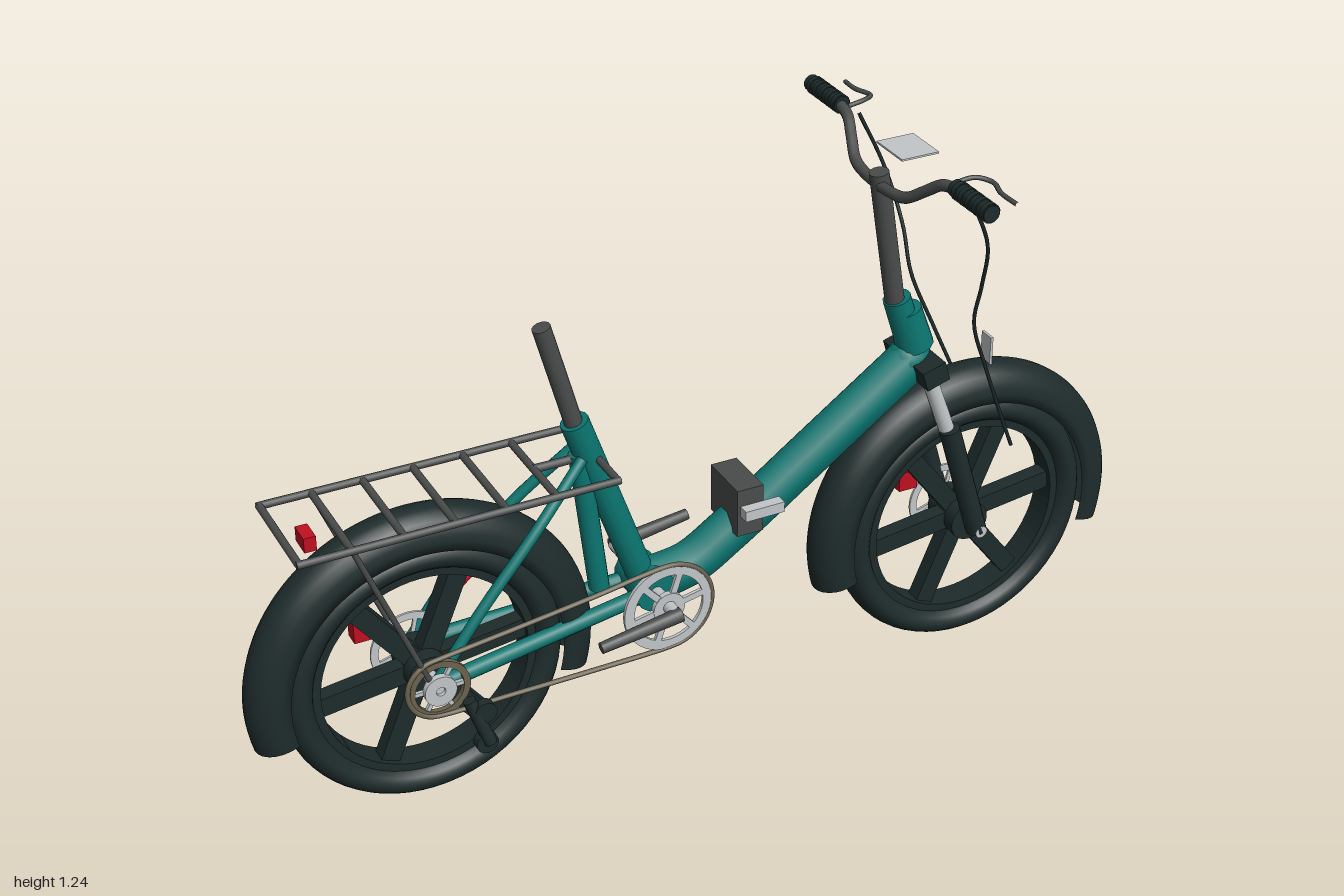
import * as THREE from 'three';

const paint = (name, color) => Object.assign(new THREE.MeshStandardMaterial({ color }), { name });
const V = (x, y, z) => new THREE.Vector3(x, y, z);

export function createModel() {
  const teal = paint('teal frame', 0x0b7570);
  const rubber = paint('black rubber', 0x1e2b2b);
  const grey = paint('dark grey metal', 0x4a4c4c);
  const silver = paint('silver', 0xc2c6c8);
  const red = paint('red', 0xc00f20);
  const chainMat = paint('chain bronze', 0x6a6250);
  const root = new THREE.Group();
  root.name = 'foldingBike';

  const add = (name, geo, mat, parent = root) => {
    const m = new THREE.Mesh(geo, mat);
    m.name = name;
    parent.add(m);
    return m;
  };
  // Straight round bar between two points
  const rod = (name, a, b, r, mat, parent = root, r2 = r, sides = 14) => {
    const m = add(name, new THREE.CylinderGeometry(r2, r, a.distanceTo(b), sides), mat, parent);
    m.position.copy(a).add(b).multiplyScalar(0.5);
    m.quaternion.setFromUnitVectors(V(0, 1, 0), b.clone().sub(a).normalize());
    return m;
  };
  const tube = (name, pts, r, mat, seg = 40, closed = false) =>
    add(name, new THREE.TubeGeometry(new THREE.CatmullRomCurve3(pts, closed), seg, r, 10, closed), mat);
  const box = (name, x, y, z, w, h, d, mat, parent = root) => {
    const m = add(name, new THREE.BoxGeometry(w, h, d), mat, parent);
    m.position.set(x, y, z);
    return m;
  };
  // Flat ring facing z
  const ring = (name, x, y, z, ro, ri, depth, mat, parent = root) => {
    const s = new THREE.Shape().absarc(0, 0, ro, 0, Math.PI * 2);
    s.holes.push(new THREE.Path().absarc(0, 0, ri, 0, Math.PI * 2, true));
    const g = new THREE.ExtrudeGeometry(s, { depth, bevelEnabled: false, curveSegments: 32 });
    const m = add(name, g.translate(0, 0, -depth / 2), mat, parent);
    m.position.set(x, y, z);
    return m;
  };
  const spokes = (name, n, start, r0, r1, w, d, z, mat, parent) => {
    for (let i = 0; i < n; i++) {
      const a = start + (i * Math.PI * 2) / n, r = (r0 + r1) / 2;
      box(name, Math.cos(a) * r, Math.sin(a) * r, z, r1 - r0, w, d, mat, parent).rotation.z = a;
    }
  };
  // Profile of [radius, z] points turned around the wheel axle
  const turned = (pts, start = 0, len = Math.PI * 2) =>
    new THREE.LatheGeometry(pts.map(p => new THREE.Vector2(...p)), 64, start, len).rotateX(Math.PI / 2);

  // Wheels with tyre, rim, six wide spokes, disc brake and mudguard
  const tyre = [], guard = [];
  for (let i = 0; i <= 24; i++) {
    const a = (i / 24) * Math.PI * 2;
    tyre.push([0.266 - 0.034 * Math.cos(a), 0.05 * -Math.sin(a)]);
  }
  tyre.reverse();
  for (let i = 0; i <= 12; i++) {
    const a = -Math.PI / 2 + (i / 12) * Math.PI;
    guard.push([0.31 + 0.06 * Math.cos(a), 0.055 * Math.sin(a)]);
  }
  guard.unshift([0.29, -0.054]);
  guard.push([0.29, 0.054], [0.305, 0.049], [0.355, 0.035], [0.364, 0], [0.355, -0.035], [0.305, -0.049], [0.29, -0.054]);
  const guardMat = rubber.clone();
  guardMat.name = 'black mudguard';
  guardMat.side = THREE.DoubleSide;
  const wheel = (name, x) => {
    const g = new THREE.Group();
    g.name = name;
    g.position.set(x, 0.305, 0);
    root.add(g);
    add('tyre', turned(tyre), guardMat, g);
    ring('rim', 0, 0, 0, 0.25, 0.222, 0.06, rubber, g);
    spokes('wheelSpoke', 6, 0.13, 0.02, 0.235, 0.042, 0.035, 0, rubber, g);
    rod('hub', V(0, 0, -0.05), V(0, 0, 0.05), 0.045, rubber, g, 0.045, 24);
    rod('axle', V(0, 0, -0.1), V(0, 0, 0.1), 0.014, silver, g);
    ring('brakeDisc', 0, 0, -0.062, 0.085, 0.068, 0.005, silver, g);
    spokes('discArm', 6, 0.3, 0.01, 0.07, 0.009, 0.005, -0.062, silver, g);
    box('brakeCaliper', -0.095, 0.072, -0.072, 0.045, 0.045, 0.035, red, g);
    rod('brakeArm', V(0.08, 0.092, -0.065), V(0.135, 0.137, -0.065), 0.011, red, g);
    add('mudguard', turned(guard, (75 * Math.PI) / 180, (210 * Math.PI) / 180), guardMat, g);
  };
  wheel('rearWheel', -0.63);
  wheel('frontWheel', 0.63);

  // Frame
  tube('mainTube', [V(0.49, 0.722, 0), V(0.25, 0.552, 0), V(0.06, 0.418, 0), V(-0.03, 0.365, 0), V(-0.13, 0.35, 0)],
    0.053, teal).scale.z = 0.85;
  const cap = add('mainTubeEnd', new THREE.SphereGeometry(0.052, 16, 12), teal);
  cap.position.set(0.485, 0.72, 0);
  cap.scale.z = 0.85;
  rod('bottomBracket', V(-0.13, 0.355, -0.055), V(-0.13, 0.355, 0.055), 0.045, teal);
  rod('seatTube', V(-0.14, 0.37, 0), V(-0.28, 0.775, 0), 0.03, teal);
  rod('seatTubeBrace', V(-0.235, 0.37, 0), V(-0.272, 0.7, 0), 0.022, teal);
  rod('seatPost', V(-0.275, 0.75, 0), V(-0.343, 1.0, 0), 0.019, grey);
  for (const s of [1, -1]) {
    rod('chainstay', V(-0.15, 0.345, s * 0.035), V(-0.63, 0.3, s * 0.078), 0.017, teal);
    tube('seatstay', [V(-0.275, 0.7, s * 0.025), V(-0.4, 0.58, s * 0.062), V(-0.52, 0.45, s * 0.075), V(-0.63, 0.305, s * 0.078)],
      0.012, teal, 20);
  }
  box('frameHinge', 0.083, 0.495, 0, 0.06, 0.11, 0.12, grey);
  box('hingeLever', 0.105, 0.5, 0.072, 0.09, 0.024, 0.025, silver);

  // Steering: head tube, folding stem and fork
  rod('headTube', V(0.5, 0.72, 0), V(0.45, 0.875, 0), 0.03, teal);
  rod('stemHinge', V(0.497, 0.755, 0), V(0.472, 0.845, 0), 0.042, teal, root, 0.034);
  rod('stem', V(0.447, 0.86, 0), V(0.396, 1.17, 0), 0.021, grey);
  box('forkCrown', 0.505, 0.715, 0, 0.055, 0.045, 0.165, rubber).rotation.z = 0.3;
  for (const s of [1, -1]) {
    rod('forkStanchion', V(0.5, 0.7, s * 0.063), V(0.555, 0.545, s * 0.068), 0.017, silver);
    rod('forkLeg', V(0.548, 0.575, s * 0.075), V(0.63, 0.3, s * 0.078), 0.023, rubber);
  }
  box('frontReflector', 0.68, 0.7, 0, 0.006, 0.065, 0.036, silver);
  box('displayPlate', 0.46, 1.21, 0, 0.085, 0.004, 0.1, silver);

  // Handlebar with grips, brake levers and cables
  const half = [[0.395, 1.146, 0.05], [0.4, 1.155, 0.1], [0.415, 1.185, 0.145], [0.428, 1.212, 0.185], [0.435, 1.22, 0.24]];
  const side = (p, s) => V(p[0], p[1], p[2] * s);
  tube('handlebar', [...half.map(p => side(p, -1)).reverse(), ...half.map(p => side(p, 1))], 0.012, grey, 60);
  for (const s of [1, -1]) {
    rod('grip', V(0.435, 1.22, s * 0.22), V(0.435, 1.22, s * 0.35), 0.018, rubber);
    for (let i = 0; i < 5; i++) {
      const z = s * (0.235 + i * 0.025);
      rod('gripRib', V(0.435, 1.22, z), V(0.435, 1.22, z + 0.012), 0.0205, rubber);
    }
    tube('brakeLever', [V(0.44, 1.222, s * 0.205), V(0.485, 1.227, s * 0.21), V(0.51, 1.222, s * 0.235), V(0.5, 1.22, s * 0.28),
      V(0.505, 1.216, s * 0.33)], 0.005, grey, 20);
    tube('brakeCable', [V(0.47, 1.2, s * 0.212), V(0.53, 1.07, s * 0.2), V(0.553, 0.95, s * 0.155), V(0.56, 0.85, s * 0.125),
      V(0.61, 0.72, s * 0.105), V(0.66, 0.6, s * 0.09), V(0.7, 0.5, s * 0.085)], 0.004, rubber);
  }

  // Luggage rack and rear light
  for (const s of [1, -1]) {
    rod('rackRail', V(-0.9, 0.69, s * 0.115), V(-0.235, 0.69, s * 0.115), 0.008, grey);
    rod('rackStay', V(-0.79, 0.69, s * 0.115), V(-0.64, 0.31, s * 0.095), 0.006, grey);
  }
  for (const x of [-0.895, -0.79, -0.685, -0.58, -0.475, -0.37, -0.24])
    rod('rackBar', V(x, 0.69, -0.115), V(x, 0.69, 0.115), 0.008, grey);
  rod('rackMount', V(-0.37, 0.69, 0), V(-0.25, 0.69, 0), 0.009, grey);
  box('rearLight', -0.843, 0.667, 0, 0.025, 0.032, 0.05, red);

  // Drivetrain
  const crank = new THREE.Group();
  crank.name = 'chainring';
  crank.position.set(-0.13, 0.352, 0.108);
  root.add(crank);
  ring('chainringRim', 0, 0, 0, 0.1, 0.078, 0.008, silver, crank);
  ring('chainringHub', 0, 0, 0, 0.035, 0.012, 0.012, silver, crank);
  spokes('chainringArm', 6, 0.2, 0.02, 0.082, 0.014, 0.008, 0, silver, crank);
  const cassette = new THREE.Group();
  cassette.name = 'rearSprocket';
  cassette.position.set(-0.63, 0.305, 0.095);
  root.add(cassette);
  ring('sprocketRim', 0, 0, 0, 0.066, 0.052, 0.012, chainMat, cassette);
  ring('sprocketInner', 0, 0, 0.006, 0.034, 0.01, 0.014, silver, cassette);
  spokes('sprocketArm', 6, 0, 0.01, 0.055, 0.009, 0.008, 0, silver, cassette);
  const loop = [];
  for (let i = 0; i <= 10; i++) {
    const a = Math.PI / 2 + (i / 10) * Math.PI;
    loop.push(V(-0.63 + 0.068 * Math.cos(a), 0.31 + 0.068 * Math.sin(a), 0.1));
  }
  loop.push(V(-0.46, 0.244, 0.103), V(-0.3, 0.247, 0.106));
  for (let i = 0; i <= 10; i++) {
    const a = -Math.PI / 2 + (i / 10) * Math.PI;
    loop.push(V(-0.13 + 0.1 * Math.cos(a), 0.352 + 0.1 * Math.sin(a), 0.108));
  }
  loop.push(V(-0.3, 0.426, 0.106), V(-0.46, 0.402, 0.103));
  tube('chain', loop, 0.0055, chainMat, 140, true);
  rod('derailleurCage', V(-0.575, 0.27, 0.115), V(-0.54, 0.165, 0.13), 0.014, rubber);
  for (const y of [0.24, 0.165])
    rod('derailleurPulley', V(-0.547, y, 0.113), V(-0.547, y, 0.133), 0.024, rubber);
  rod('crankAxle', V(-0.13, 0.355, -0.15), V(-0.13, 0.355, 0.15), 0.014, silver);
  rod('leftCrank', V(-0.12, 0.355, 0.147), V(-0.3, 0.328, 0.147), 0.016, grey, root, 0.012);
  rod('rightCrank', V(-0.14, 0.355, -0.147), V(0.04, 0.382, -0.147), 0.016, grey, root, 0.012);

  return root;
}
